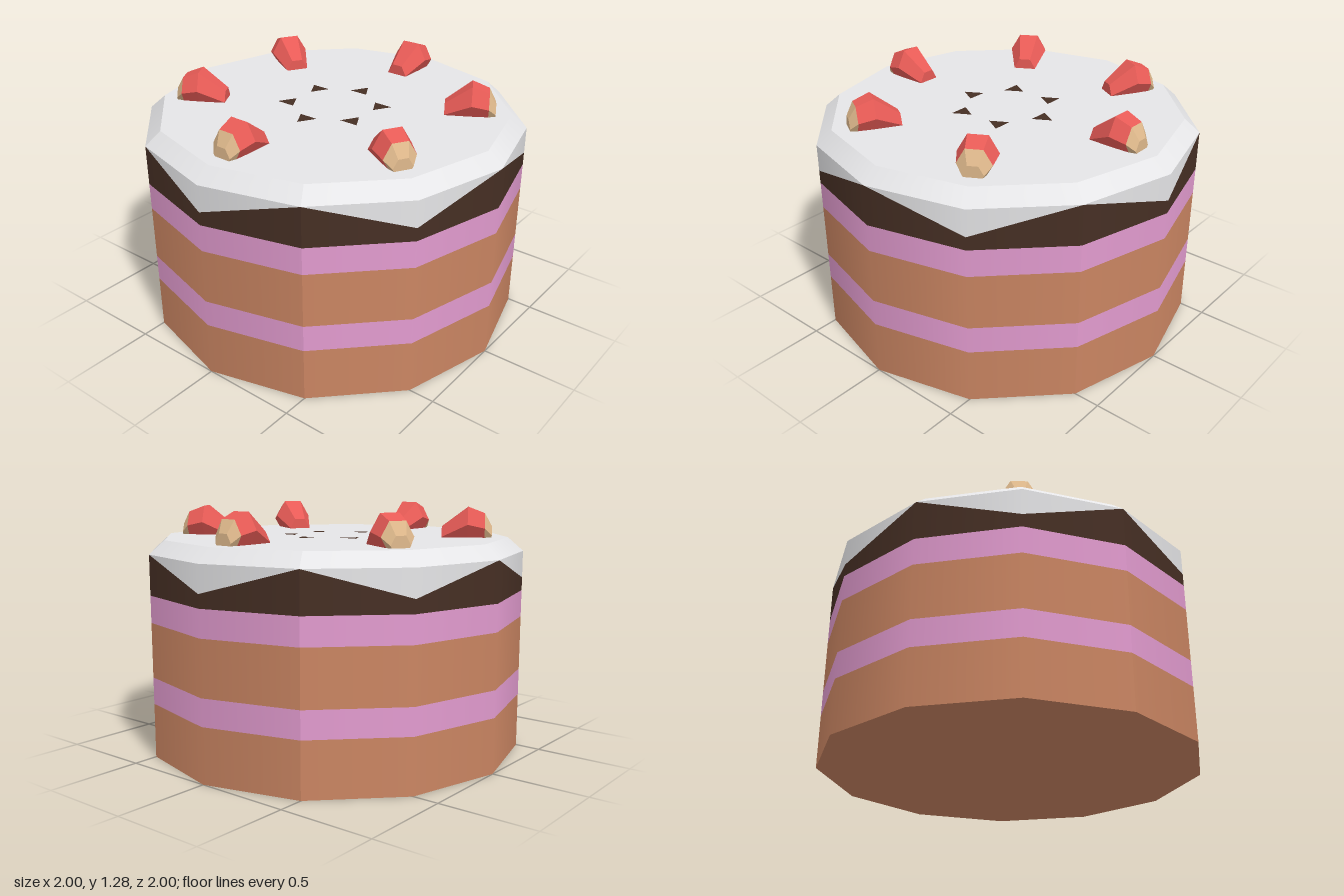
import * as THREE from 'three';

const mat = (name, color) => {
  const m = new THREE.MeshStandardMaterial({ color });
  m.name = name;
  return m;
};

const SIDES = 12;
const STEP = (Math.PI * 2) / SIDES;
const SHARP = [2, 4, 8, 10]; // corners that keep a hard edge

function mesh(name, geometry, material) {
  const m = new THREE.Mesh(geometry, material);
  m.name = name;
  return m;
}

function buffer(pos, nor) {
  const g = new THREE.BufferGeometry();
  g.setAttribute('position', new THREE.Float32BufferAttribute(pos, 3));
  if (nor) g.setAttribute('normal', new THREE.Float32BufferAttribute(nor, 3));
  else g.computeVertexNormals();
  return g;
}

// Twelve-sided band; low(k) gives the lower height at corner k
function band(low, high, rLow = 1, rHigh = 1) {
  const pos = [], nor = [];
  const slope = rLow - rHigh;
  for (let k = 0; k < SIDES; k++) {
    const put = (c, isHigh) => {
      const r = isHigh ? rHigh : rLow;
      const a = c * STEP;
      pos.push(r * Math.sin(a), isHigh ? high : low(c), r * Math.cos(a));
      const na = SHARP.includes(c % SIDES) ? (k + 0.5) * STEP : a;
      const rise = slope ? high - low(c) : 1;
      const n = new THREE.Vector3(Math.sin(na) * rise, slope, Math.cos(na) * rise).normalize();
      nor.push(n.x, n.y, n.z);
    };
    put(k, false); put(k + 1, false); put(k + 1, true);
    put(k, false); put(k + 1, true); put(k, true);
  }
  return buffer(pos, nor);
}

// Faceted loft along x through hexagonal rings [x, centre y, radius]
function loft(rings) {
  const pos = [];
  const pt = ([x, y, r], j) => {
    const a = (j * Math.PI) / 3;
    return [x, y + r * Math.sin(a), r * Math.cos(a)];
  };
  for (let i = 0; i < rings.length - 1; i++) {
    for (let j = 0; j < 6; j++) {
      const a = pt(rings[i], j), b = pt(rings[i + 1], j);
      const c = pt(rings[i + 1], j + 1), d = pt(rings[i], j + 1);
      if (rings[i + 1][2] > 0) pos.push(...a, ...b, ...c);
      if (rings[i][2] > 0) pos.push(...a, ...c, ...d);
      if (rings[i + 1][2] === 0) continue;
    }
  }
  return buffer(pos);
}

function disc(radius, sides, y, up = true) {
  return new THREE.CircleGeometry(radius, sides)
    .rotateX(up ? -Math.PI / 2 : Math.PI / 2)
    .translate(0, y, 0);
}

export function createModel() {
  const sponge = mat('sponge', 0xca8562);
  const cream = mat('pinkCream', 0xe29bcf);
  const chocolate = mat('chocolate', 0x462f24);
  const icing = mat('icing', 0xe6e6e8);
  const red = mat('berryRed', 0xea5c57);
  const tan = mat('berryTan', 0xdfb98c);

  const cake = new THREE.Group();
  cake.name = 'cake';

  // Stacked layers
  cake.add(mesh('base', disc(1, SIDES, 0, false), sponge));
  cake.add(mesh('lowerSponge', band(() => 0, 0.285), sponge));
  cake.add(mesh('lowerCream', band(() => 0.285, 0.425), cream));
  cake.add(mesh('upperSponge', band(() => 0.425, 0.71), sponge));
  cake.add(mesh('upperCream', band(() => 0.71, 0.85), cream));

  // Chocolate band whose top edge zigzags under the icing drips
  const edge = (k) => (k % 2 ? 0.918 : 1.058);
  const choc = band(() => 0.85, 1.058);
  const p = choc.attributes.position;
  for (let i = 0; i < p.count; i++) {
    const k = Math.round(Math.atan2(p.getX(i), p.getZ(i)) / STEP) + SIDES;
    if (p.getY(i) > 1) p.setY(i, edge(k));
  }
  cake.add(mesh('chocolateBand', choc, chocolate));

  // Icing: drips, bevelled rim and top
  cake.add(mesh('icingDrips', band(edge, 1.058), icing));
  cake.add(mesh('icingRim', band(() => 1.058, 1.128, 1, 0.92), icing));
  cake.add(mesh('icingTop', disc(0.92, SIDES, 1.128), icing));

  // Six berries and six chocolate chips around the top
  const body = loft([[0.575, 1.13, 0], [0.575, 1.13, 0.06], [0.71, 1.197, 0.1], [0.798, 1.177, 0.085]]);
  const end = loft([[0.798, 1.177, 0.085], [0.835, 1.14, 0.052], [0.835, 1.14, 0]]);
  const chip = disc(0.06, 3, 1.131).translate(0.24, 0, 0);
  for (let i = 0; i < 6; i++) {
    const berry = new THREE.Group();
    berry.name = 'berry';
    berry.add(mesh('berryBody', body, red), mesh('berryEnd', end, tan));
    const chipMesh = mesh('chocolateChip', chip, chocolate);
    berry.rotation.y = chipMesh.rotation.y = (i * Math.PI) / 3;
    cake.add(berry, chipMesh);
  }
  return cake;
}
